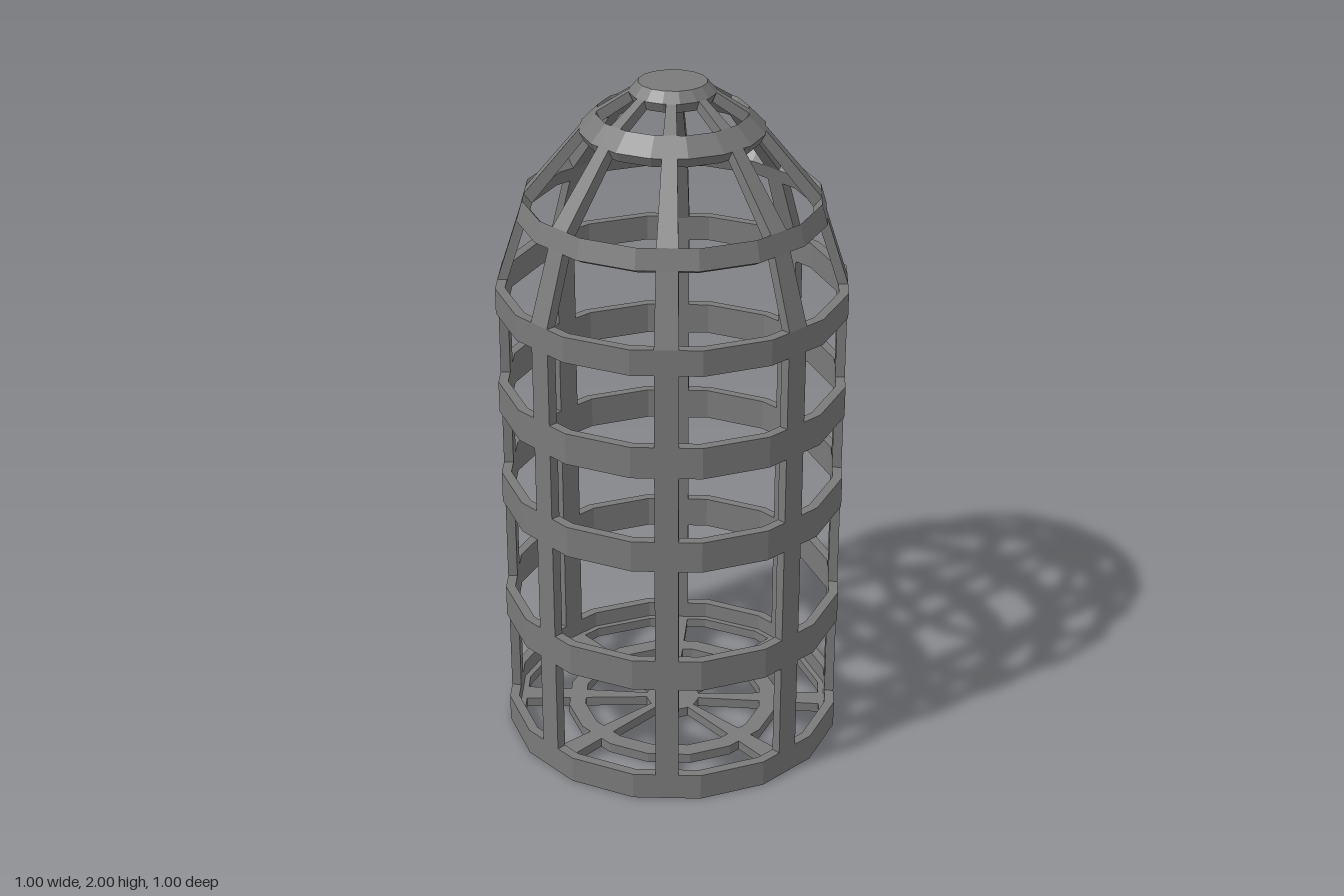
import * as THREE from 'three';

const SIDES = 16;
const RIBS = 8;
const FLAT = Math.cos(Math.PI / SIDES); // ribs lie on the flats of the rings

// Shell sections: [outer radius, outer y, inner radius, inner y]
const FLOOR = [[0.05, 0, 0.05, 0.03], [0.5, 0, 0.472, 0.03]];
const WALL = [[0.5, 0, 0.472, 0.03], [0.5, 1.425, 0.472, 1.42]];
const DOME = [
  [0.5, 1.425, 0.472, 1.42],
  [0.435, 1.622, 0.41, 1.608],
  [0.418, 1.68, 0.395, 1.652],
  [0.258, 1.868, 0.243, 1.84],
  [0.211, 1.916, 0.197, 1.888],
  [0.12, 1.972, 0.11, 1.945],
];

// Four-sided bar lofted through shell sections, narrowing toward the axis
function ribGeometry(sections) {
  const pos = [];
  const idx = [];
  for (const [ro, yo, ri, yi] of sections) {
    const w = (0.015 + 0.102 * ro) / 2;
    pos.push(-w, yo, ro * FLAT, w, yo, ro * FLAT, w, yi, ri * FLAT, -w, yi, ri * FLAT);
  }
  for (let i = 0; i < sections.length - 1; i++) {
    for (let j = 0; j < 4; j++) {
      const a = i * 4 + j;
      const b = i * 4 + (j + 1) % 4;
      idx.push(a, b, b + 4, a, b + 4, a + 4);
    }
  }
  const e = (sections.length - 1) * 4;
  idx.push(0, 3, 2, 0, 2, 1, e, e + 1, e + 2, e, e + 2, e + 3);
  const geo = new THREE.BufferGeometry();
  geo.setAttribute('position', new THREE.Float32BufferAttribute(pos, 3));
  geo.setIndex(idx);
  geo.computeVertexNormals();
  return geo;
}

// Faceted solid of revolution; profile runs up the outside, down the inside
function turned(profile) {
  return new THREE.LatheGeometry(profile.map(([r, y]) => new THREE.Vector2(r, y)), SIDES);
}

function hoopProfile(inner, outer, y0, y1) {
  return [[inner, y0], [outer, y0], [outer, y1], [inner, y1], [inner, y0]];
}

// Hoop following the dome between two of its sections
function domeHoopProfile(a, b) {
  const start = [a[2], a[3]];
  return [start, [a[0], a[1]], [b[0], b[1]], [b[2], b[3]], start];
}

export function createModel() {
  const model = new THREE.Group();
  model.name = 'domedCage';
  const material = new THREE.MeshStandardMaterial({ color: 0x7a7a7a, flatShading: true });

  const add = (name, geo, angle = 0) => {
    const mesh = new THREE.Mesh(geo, material);
    mesh.name = name;
    mesh.rotation.y = angle;
    model.add(mesh);
  };

  // Base hoop with a small inward lip
  add('baseHoop', turned([
    [0.455, 0], [0.5, 0], [0.5, 0.08], [0.472, 0.08], [0.472, 0.03], [0.455, 0.03], [0.455, 0],
  ]));

  // Wall hoops
  for (const [y0, y1] of [[0.37, 0.465], [0.755, 0.848], [1.045, 1.138], [1.35, 1.425]]) {
    add('wallHoop', turned(hoopProfile(0.472, 0.5, y0, y1)));
  }

  // Sloped dome hoops
  add('lowerDomeHoop', turned(domeHoopProfile(DOME[1], DOME[2])));
  add('upperDomeHoop', turned(domeHoopProfile(DOME[3], DOME[4])));

  // Top cap, hollow underneath
  add('topCap', turned([
    [0, 1.965], [0.095, 1.965], [0.108, 1.945], [0.12, 1.972], [0.095, 2], [0, 2],
  ]));

  // Floor hoop and hub
  add('floorHoop', turned(hoopProfile(0.27, 0.32, 0, 0.03)));
  add('floorHub', turned([[0, 0], [0.08, 0], [0.08, 0.03], [0, 0.03]]));

  // Spokes, wall bars and dome ribs around the axis
  const parts = { floorSpoke: FLOOR, wallBar: WALL, domeRib: DOME };
  for (const [name, sections] of Object.entries(parts)) {
    const geo = ribGeometry(sections);
    for (let k = 0; k < RIBS; k++) {
      add(name, geo, -Math.PI / SIDES + (k * 2 * Math.PI) / RIBS);
    }
  }
  return model;
}
